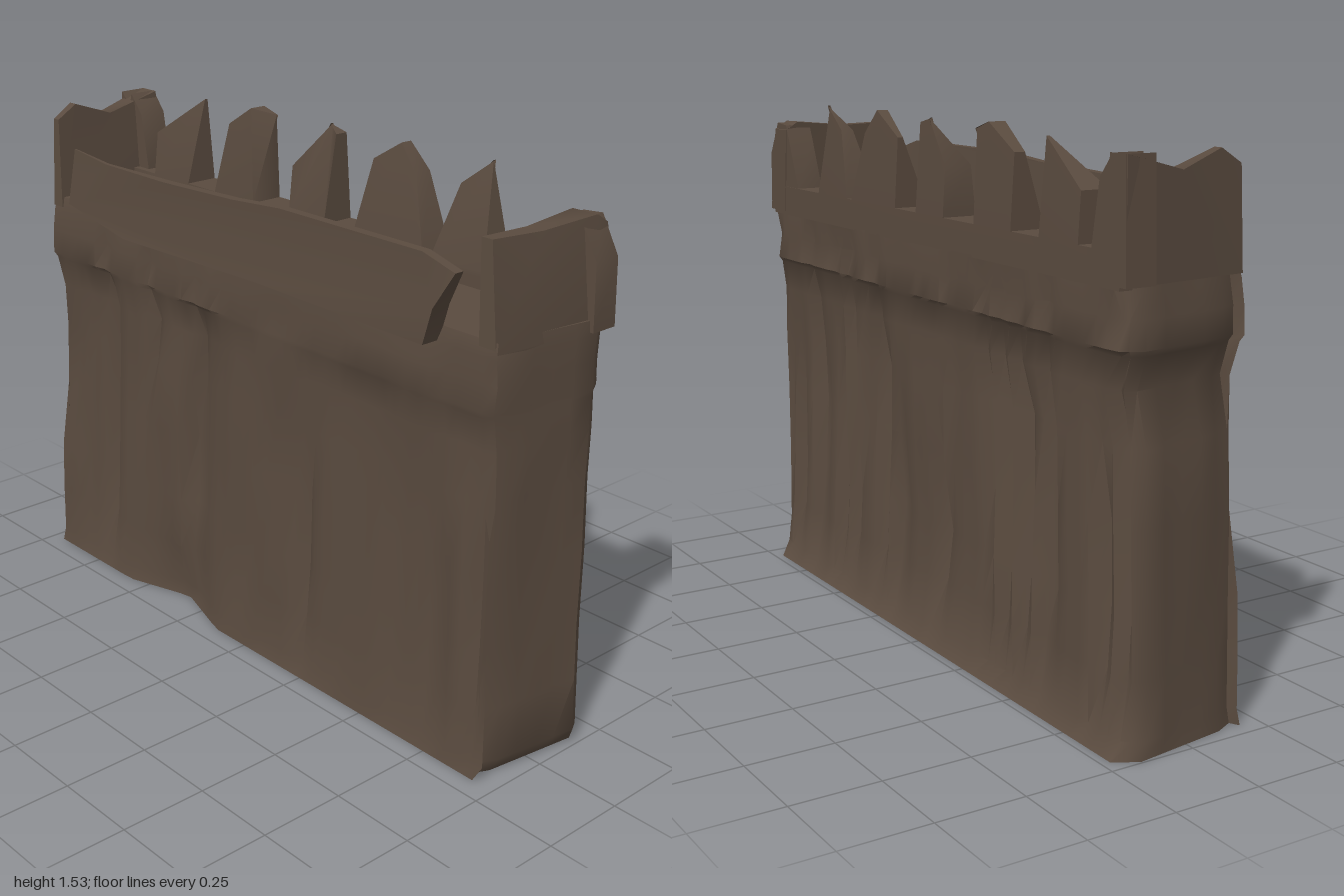
import * as THREE from 'three';
import { toCreasedNormals } from 'three/addons/utils/BufferGeometryUtils.js';

const wood = new THREE.MeshStandardMaterial({ color: 0x5a4b3f });
wood.name = 'darkWood';

// repeatable value in 0..1
const hash = (a, b = 0) => {
  const s = Math.sin(a * 127.1 + b * 311.7 + 4.2) * 43758.5453;
  return s - Math.floor(s);
};

function addPart(group, name, geometry, crease = 0.8) {
  const mesh = new THREE.Mesh(toCreasedNormals(geometry, crease), wood);
  mesh.name = name;
  group.add(mesh);
}

// height, -x, +x, back z, front z, roughness of the planks
const SECTIONS = [
  [0.00, -0.19, 0.225, -1.00, 0.975, 0],
  [0.045, -0.185, 0.20, -0.995, 1.00, 0.2],
  [0.20, -0.185, 0.20, -0.99, 0.995, 0.7],
  [0.36, -0.185, 0.20, -0.985, 0.99, 1],
  [0.58, -0.185, 0.20, -0.975, 0.99, 1],
  [0.78, -0.182, 0.198, -0.965, 0.985, 1],
  [0.92, -0.178, 0.20, -0.935, 0.985, 0.7],
  [1.01, -0.178, 0.203, -0.965, 0.98, 0.3],
  [1.025, -0.185, 0.212, -0.972, 0.98, 0.2],
  [1.10, -0.185, 0.21, -0.97, 0.98, 0.5],
  [1.17, -0.18, 0.212, -0.96, 0.98, 0.1],
  [1.21, -0.17, 0.205, -0.955, 0.975, 0],
];
const ALONG = 45, ACROSS = 6;

// the ends are cut back slightly towards -x
const endCut = (s) => 0.045 * Math.min(1, Math.max(0, (1 - s) * 1.3 - 0.1));

// plan outline in unit steps: s runs across x, t runs from back to front
function planOutline() {
  const pts = [];
  for (let i = 0; i < ALONG; i++) pts.push({ s: 1, t: 1 - i / ALONG, side: 1 });
  for (let i = 0; i < ACROSS; i++) pts.push({ s: 1 - i / ACROSS, t: 0, side: 0 });
  for (let i = 0; i < ALONG; i++) pts.push({ s: 0, t: i / ALONG, side: -1 });
  for (let i = 0; i < ACROSS; i++) pts.push({ s: i / ACROSS, t: 1, side: 0 });
  return pts;
}

// lofted timber body with broad hollows and irregular sunken seams
function bodyGeometry() {
  const plan = planOutline(), n = plan.length;
  const pos = [], idx = [];
  SECTIONS.forEach(([y, x0, x1, z0, z1, rough], j) => {
    plan.forEach(({ s, t, side }) => {
      let x = x0 + (x1 - x0) * s, z = z0 + (z1 - z0) * t;
      const inward = t > 0.5 ? -1 : 1;
      if ((s === 0 || s === 1) && (t === 0 || t === 1)) {
        x += s ? -0.03 : 0.015;
        z += inward * (0.025 + endCut(s));
      } else if (side) {
        const k = Math.round(t * ALONG);
        const split = hash(k, side + 7) < 0.3 && hash(k, side + (j > 4 ? 3 : 5)) > 0.3;
        const hollow = 0.032 * hash(Math.floor(k / 4) + side * 20, Math.floor(j / 2));
        x -= side * rough * (hollow + (split ? 0.03 : 0) + 0.006 * hash(k, j));
        // hollow under the -x foot
        if (side < 0 && y < 0.1) x += 0.07 * Math.max(0, 1 - Math.abs(z + 0.35) / 0.22);
      } else {
        z += inward * (endCut(s) + rough * 0.014 * hash(s * 9 + t, Math.floor(j / 3)));
      }
      pos.push(x, y, z);
    });
  });
  for (let j = 0; j < SECTIONS.length - 1; j++) {
    for (let i = 0; i < n; i++) {
      const a = j * n + i, b = j * n + (i + 1) % n;
      idx.push(a, b, b + n, a, b + n, a + n);
    }
  }
  // underside and walkway floor
  const low = pos.length / 3, high = low + 1, top = (SECTIONS.length - 1) * n;
  pos.push(0, 0, 0, 0, 1.21, 0);
  for (let i = 0; i < n; i++) {
    const k = (i + 1) % n;
    idx.push(low, k, i, high, top + i, top + k);
  }
  const g = new THREE.BufferGeometry();
  g.setAttribute('position', new THREE.Float32BufferAttribute(pos, 3));
  g.setIndex(idx);
  return g;
}

const shapeOf = (pts) => new THREE.Shape(pts.map(([x, y]) => new THREE.Vector2(x, y)));
const extrude = (pts, depth) =>
  new THREE.ExtrudeGeometry(shapeOf(pts), { depth, bevelEnabled: false });

// outline given as [z, y], thickness running from x0 to x1
function sidePanel(outline, x0, x1) {
  const g = extrude(outline.map(([z, y]) => [-z, y]), x1 - x0);
  g.rotateY(Math.PI / 2);
  g.translate(x0, 0, 0);
  return g;
}

// move every vertex by a rule
function reshape(g, rule) {
  const p = g.attributes.position, v = new THREE.Vector3();
  for (let i = 0; i < p.count; i++) {
    rule(v.fromBufferAttribute(p, i));
    p.setXYZ(i, v.x, v.y, v.z);
  }
  return g;
}

// jagged teeth as [z, y], ordered from front to back
const TEETH = [
  [[0.63, 1.26], [0.57, 1.53], [0.49, 1.46], [0.44, 1.26]],
  [[0.41, 1.26], [0.34, 1.46], [0.27, 1.53], [0.14, 1.46], [0.14, 1.26]],
  [[0.02, 1.26], [0.015, 1.51], [-0.05, 1.525], [-0.13, 1.40], [-0.13, 1.26]],
  [[-0.29, 1.26], [-0.285, 1.51], [-0.34, 1.53], [-0.47, 1.46], [-0.47, 1.26]],
  [[-0.60, 1.26], [-0.61, 1.51], [-0.77, 1.39], [-0.77, 1.26]],
];

export function createModel() {
  const group = new THREE.Group();
  group.name = 'palisadeWall';

  addPart(group, 'plankBody', bodyGeometry(), 0.75);

  // toothed parapet, its inner face leaning outward towards the tips
  const toothed = [[0.95, 1.17], [0.95, 1.26], ...TEETH.flat(), [-0.94, 1.26], [-0.94, 1.17]];
  addPart(group, 'toothedParapet', reshape(sidePanel(toothed, 0.105, 0.21), (v) => {
    const h = Math.max(0, v.y - 1.26);
    if (v.x < 0.15) v.x += h * (0.1 + 0.3 * hash(Math.round(v.z * 50)));
    else v.x -= h * 0.06;
  }));

  // low plain parapet overhanging the opposite side
  const plain = [[0.74, 1.17], [0.77, 1.27], [0.83, 1.37], [0.72, 1.40], [0.2, 1.40], [0, 1.385],
    [-0.3, 1.375], [-0.6, 1.37], [-0.77, 1.385], [-0.80, 1.21], [-0.5, 1.165], [0.1, 1.18]];
  addPart(group, 'plainParapet', reshape(sidePanel(plain, -0.23, -0.17), (v) => {
    const upper = v.y > 1.3;
    if (v.x < -0.2) v.x += (upper ? 0.012 : 0) + Math.max(0, -v.z - 0.3) * 0.05;
    else if (upper) v.x -= 0.02;
  }));

  // front end panel, sloping in at the top
  const front = extrude([[-0.175, 1.18], [0, 1.17], [0.212, 1.18], [0.21, 1.44], [0.17, 1.465],
    [0.0, 1.45], [-0.16, 1.455]], 0.1);
  front.translate(0, 0, 0.875);
  addPart(group, 'frontEndPanel', reshape(front, (v) => {
    const slope = v.y > 1.4 ? 0.04 : 0;
    v.z -= v.z > 0.95 ? slope + endCut((v.x + 0.18) / 0.39) : slope / 2;
  }));
  const frontCorner = [[0.98, 1.18], [0.975, 1.36], [0.92, 1.46], [0.86, 1.455], [0.84, 1.41],
    [0.78, 1.26], [0.78, 1.18]];
  addPart(group, 'frontCornerTooth', sidePanel(frontCorner, 0.125, 0.208));

  // back end panel with a raised peak on each side
  const back = extrude([[-0.18, 1.18], [0.21, 1.18], [0.21, 1.49], [0.15, 1.475],
    [0.03, 1.445], [-0.1, 1.49], [-0.165, 1.45]], 0.09);
  back.translate(0, 0, -0.965);
  addPart(group, 'backEndPanel', reshape(back, (v) => {
    if (v.z < -0.9) v.z += endCut((v.x + 0.18) / 0.39);
    else if (v.y > 1.4) v.z -= 0.02;
  }));
  const backCorner = [[-0.83, 1.18], [-0.83, 1.26], [-0.86, 1.43], [-0.91, 1.49],
    [-0.92, 1.45], [-0.96, 1.49], [-0.97, 1.18]];
  addPart(group, 'backCornerTooth', sidePanel(backCorner, 0.125, 0.213));

  return group;
}
